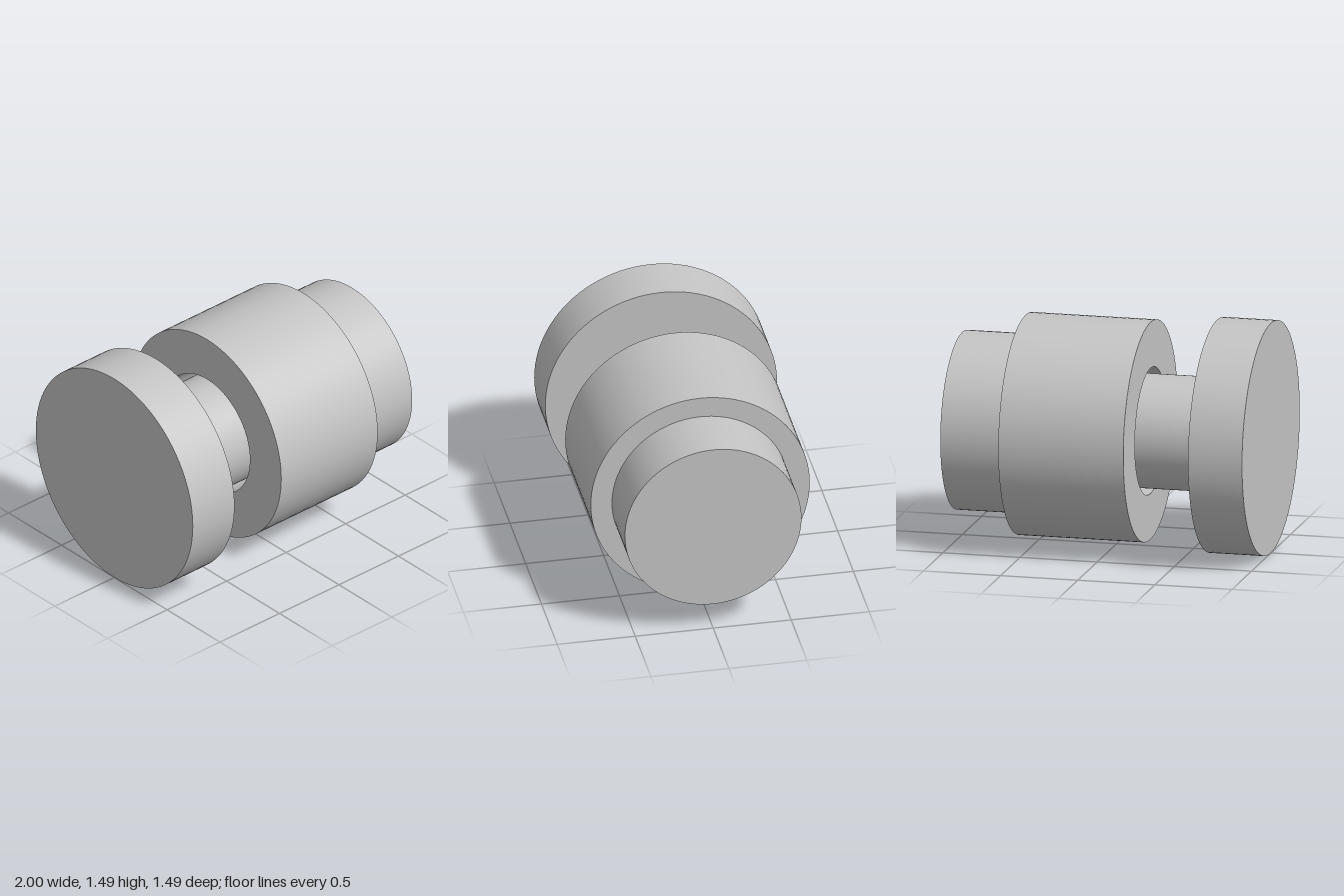
import * as THREE from 'three';
import { mergeGeometries } from 'three/addons/utils/BufferGeometryUtils.js';

const SEGMENTS = 96;
const AXIS_HEIGHT = 0.743;

// Revolves a [radius, x] profile about the x axis, keeping every corner sharp
function turned(profile) {
  const bands = [];
  for (let i = 0; i < profile.length - 1; i++) {
    const pair = [profile[i], profile[i + 1]].map(([r, x]) => new THREE.Vector2(r, x));
    bands.push(new THREE.LatheGeometry(pair, SEGMENTS));
  }
  return mergeGeometries(bands).rotateZ(-Math.PI / 2);
}

// Solid disc or rod between two x positions
const solid = (r, x0, x1) => [[0, x0], [r, x0], [r, x1], [0, x1]];

export function createModel() {
  const model = new THREE.Group();
  model.name = 'turnedShaftAssembly';
  const grey = new THREE.MeshStandardMaterial({ color: 0xc4c4c4 });
  grey.name = 'plain grey';

  const parts = {
    flange: solid(0.743, -1, -0.65),
    shaft: solid(0.362, -0.65, 0.59),
    // Hollow body with a clearance bore around the shaft
    sleeve: [[0.405, -0.22], [0.702, -0.22], [0.702, 0.59], [0.405, 0.59], [0.405, -0.22]],
    endBoss: solid(0.566, 0.59, 1),
  };

  for (const [name, profile] of Object.entries(parts)) {
    const mesh = new THREE.Mesh(turned(profile), grey);
    mesh.name = name;
    mesh.position.y = AXIS_HEIGHT;
    model.add(mesh);
  }
  return model;
}
